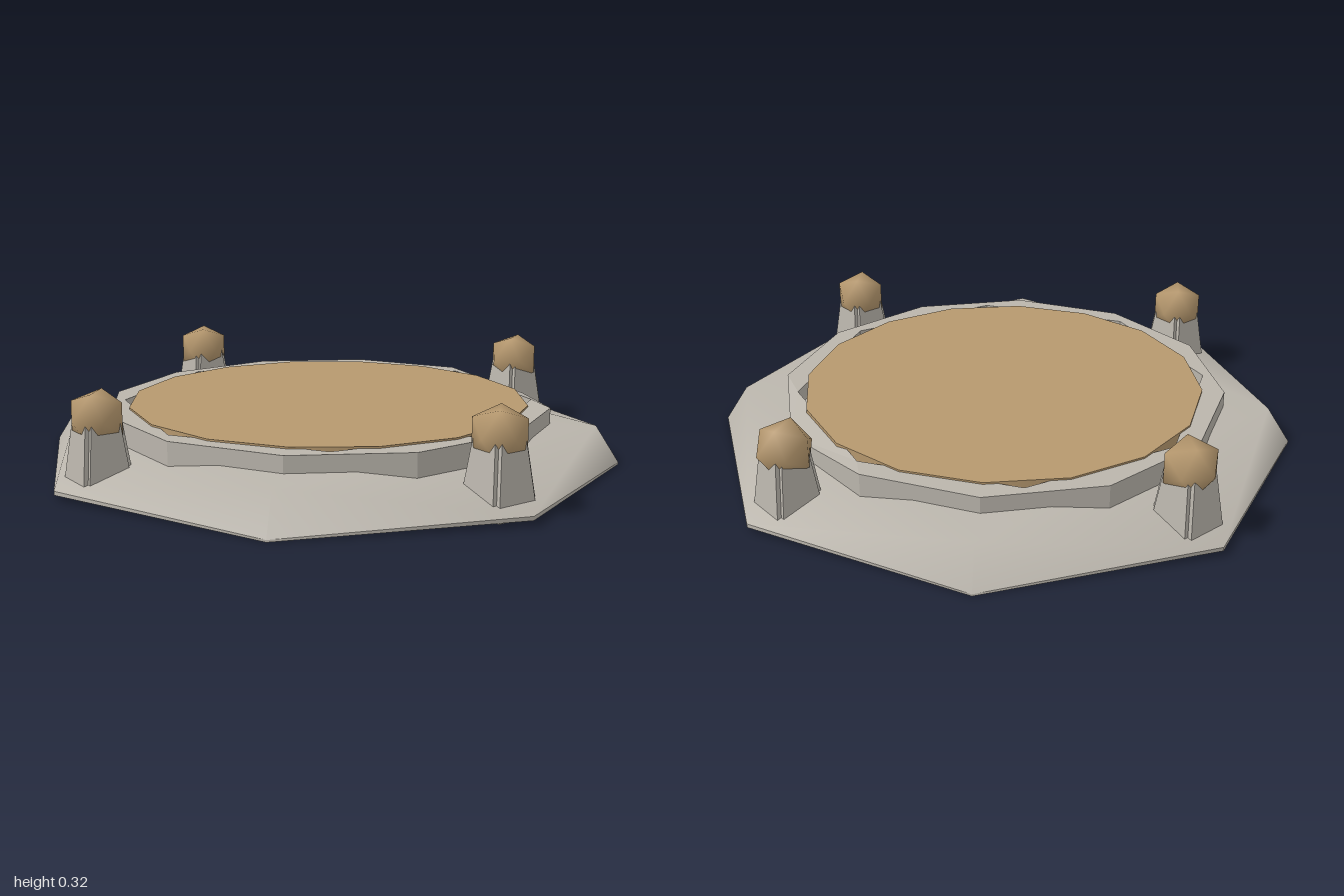
import * as THREE from 'three';

const stone = new THREE.MeshStandardMaterial({ color: 0xbab5ac });
stone.name = 'stone';
const sand = new THREE.MeshStandardMaterial({ color: 0xb6986e });
sand.name = 'sand';

function add(parent, name, geometry, material) {
  const mesh = new THREE.Mesh(geometry, material);
  mesh.name = name;
  parent.add(mesh);
  return mesh;
}

function fromFaces(points, faces) {
  const g = new THREE.BufferGeometry();
  g.setAttribute('position', new THREE.Float32BufferAttribute(points.flat(), 3));
  g.setIndex(faces.flat());
  g.computeVertexNormals();
  return g;
}

// Eight rim points: even ones on the axes, odd ones at the pillar corners
function rim(axisY, cornerY) {
  return Array.from({ length: 8 }, (_, j) => {
    const a = j * Math.PI / 4, odd = j % 2;
    const r = odd ? 1.03 : 1;
    return [r * Math.cos(a), odd ? cornerY : axisY, r * Math.sin(a)];
  });
}

// Octagonal plinth: flat diamond top, sloping down to the corners
function makeBase() {
  const base = new THREE.Group();
  base.name = 'base';
  const top = rim(0.025, 0.048), bottom = rim(0.018, 0.035);
  const peaks = [[0.92, 0.15, 0], [0, 0.15, 0.92], [-0.92, 0.15, 0], [0, 0.15, -0.92]];
  const slope = [[8, 11, 10], [8, 10, 9]], edge = [], under = [];
  for (let i = 0; i < 4; i++) {
    const p = 8 + i, q = 8 + (i + 1) % 4, k = 2 * i, c = k + 1, n = (k + 2) % 8;
    slope.push([p, q, c], [p, c, k], [c, q, n]);
  }
  for (let j = 0; j < 8; j++) {
    const n = (j + 1) % 8;
    edge.push([j, n, 8 + n], [j, 8 + n, 8 + j]);
    under.push([j, n, 8]);
  }
  add(base, 'baseSlope', fromFaces([...top, ...peaks], slope), stone);
  add(base, 'baseRim', fromFaces([...top, ...bottom], edge), stone);
  add(base, 'baseUnderside', fromFaces([...bottom, [0, 0.02, 0]], under), stone);
  return base;
}

function polygon(target, sides, radius, start) {
  const pts = [];
  for (let i = 0; i < sides; i++) {
    const a = start + i * 2 * Math.PI / sides;
    pts.push(new THREE.Vector2(radius * Math.cos(a), radius * Math.sin(a)));
  }
  return target.setFromPoints(pts);
}

// Twelve-sided kerb with an eight-sided hole and one sunken corner
function makeKerb() {
  const shape = polygon(new THREE.Shape(), 12, 0.766, 0);
  shape.holes.push(polygon(new THREE.Path(), 8, 0.71, 0.18));
  const g = new THREE.ExtrudeGeometry(shape, { depth: 0.085, bevelEnabled: false });
  g.rotateX(-Math.PI / 2).translate(0, 0.12, 0);
  const p = g.attributes.position;
  for (let i = 0; i < p.count; i++) {
    const near = Math.hypot(p.getX(i) - 0.663, p.getZ(i) + 0.383) < 0.02;
    if (near && p.getY(i) > 0.18) p.setY(i, 0.172);
  }
  g.computeVertexNormals();
  return g;
}

// Leaning plate, narrower at the top
function makePlate() {
  const g = new THREE.BoxGeometry(2, 2, 2);
  const p = g.attributes.position;
  for (let i = 0; i < p.count; i++) {
    const up = p.getY(i) > 0;
    const half = up ? 0.046 : 0.076;
    const out = (up ? 0.06 : 0.09) - (p.getZ(i) > 0 ? 0 : 0.014);
    p.setXYZ(i, p.getX(i) * half, up ? 0.27 : 0.02, out);
  }
  g.computeVertexNormals();
  return g;
}

// Faceted ball with smooth shading
function makeBall() {
  const t = (1 + Math.sqrt(5)) / 2;
  const pts = [[-1, t, 0], [1, t, 0], [-1, -t, 0], [1, -t, 0], [0, -1, t], [0, 1, t],
    [0, -1, -t], [0, 1, -t], [t, 0, -1], [t, 0, 1], [-t, 0, -1], [-t, 0, 1]];
  const faces = [[0, 11, 5], [0, 5, 1], [0, 1, 7], [0, 7, 10], [0, 10, 11],
    [1, 5, 9], [5, 11, 4], [11, 10, 2], [10, 7, 6], [7, 1, 8],
    [3, 9, 4], [3, 4, 2], [3, 2, 6], [3, 6, 8], [3, 8, 9],
    [4, 9, 5], [2, 4, 11], [6, 2, 10], [8, 6, 7], [9, 8, 1]];
  return fromFaces(pts, faces).scale(0.051, 0.051, 0.051);
}

export function createModel() {
  const model = new THREE.Group();
  model.name = 'arena';
  model.add(makeBase());
  add(model, 'kerb', makeKerb(), stone);

  // Sand floor
  const floor = add(model, 'floor', new THREE.CylinderGeometry(0.69, 0.69, 0.05, 16), sand);
  floor.position.y = 0.186;

  // Four corner pillars, each of four plates holding a ball
  const plate = makePlate(), ball = makeBall();
  const turns = [[1, 1, 1.57], [1, -1, 1.3], [-1, -1, 1.8], [-1, 1, 1.57]];
  for (const [sx, sz, turn] of turns) {
    const pillar = new THREE.Group();
    pillar.name = 'pillar';
    pillar.position.set(sx * 0.62, 0, sz * 0.62);
    for (let k = 0; k < 4; k++) {
      add(pillar, 'pillarPlate', plate, stone).rotation.y = Math.PI / 4 + k * Math.PI / 2;
    }
    const cap = add(pillar, 'pillarBall', ball, sand);
    cap.position.y = 0.26;
    cap.rotation.y = turn;
    model.add(pillar);
  }
  return model;
}
